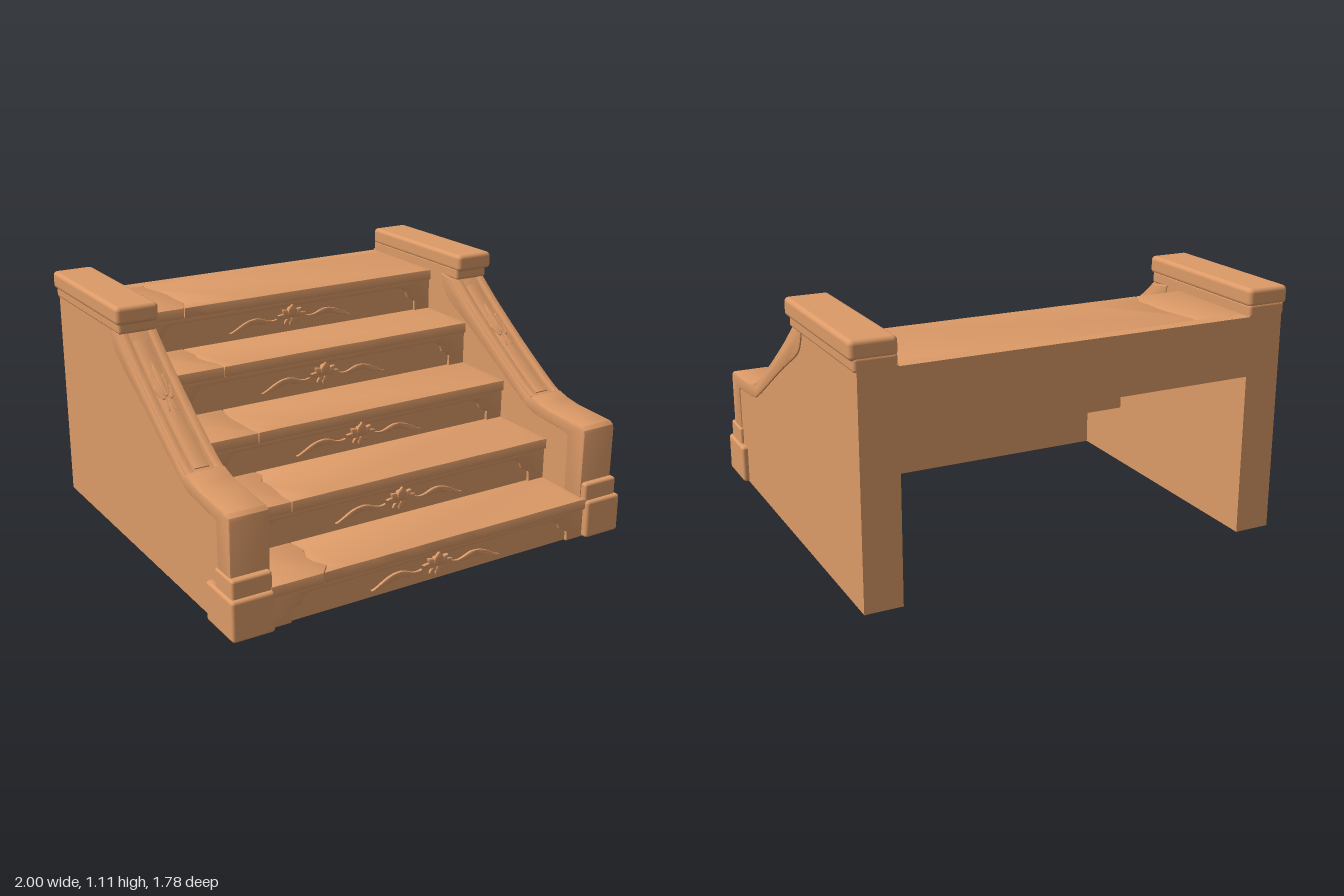
import * as THREE from 'three';
import { toCreasedNormals } from 'three/addons/utils/BufferGeometryUtils.js';
import { RoundedBoxGeometry } from 'three/addons/geometries/RoundedBoxGeometry.js';

const stone = new THREE.MeshStandardMaterial({ color: 0xdc9a67 });
stone.name = 'sandstone';

let seed = 7;
const jitter = (amount) => {
  seed = (seed * 16807) % 2147483647;
  return (seed / 2147483647 - 0.5) * 2 * amount;
};

function add(parent, name, geometry) {
  const mesh = new THREE.Mesh(geometry, stone);
  mesh.name = name;
  parent.add(mesh);
  return mesh;
}

const polygon = (points) => new THREE.Shape(points.map(([x, y]) => new THREE.Vector2(x, y)));

// Extrudes a shape to an exact depth, with an optional inward bevel
function slab(shape, depth, bevel = 0) {
  const g = new THREE.ExtrudeGeometry(shape, {
    depth: depth - 2 * bevel, curveSegments: 10, bevelEnabled: bevel > 0,
    bevelSize: bevel, bevelThickness: bevel, bevelOffset: -bevel, bevelSegments: 2,
  });
  g.translate(0, 0, bevel);
  return toCreasedNormals(g, 0.5);
}

// Extrudes a (z, y) outline across x from a to b, on the given side
function sideSlab(points, a, b, side, bevel) {
  const g = slab(polygon(points), b - a, bevel);
  g.rotateY(-Math.PI / 2);
  g.translate(side > 0 ? b : -a, 0, 0);
  return g;
}

function block(a, b, y0, y1, z0, z1, side, r) {
  const g = new RoundedBoxGeometry(b - a, y1 - y0, z1 - z0, 3, r);
  g.translate(side * (a + b) / 2, (y0 + y1) / 2, (z0 + z1) / 2);
  return g;
}

function box(width, y0, y1, z0, z1) {
  const g = new THREE.BoxGeometry(width, y1 - y0, z1 - z0);
  g.translate(0, (y0 + y1) / 2, (z0 + z1) / 2);
  return g;
}

const spline = (points, n) => new THREE.SplineCurve(points.map(([x, y]) => new THREE.Vector2(x, y)))
  .getPoints(n).map((p) => [p.x, p.y]);

// Pointed petal growing from the origin
function petal(length, width, angle, depth) {
  const s = new THREE.Shape();
  s.moveTo(0, 0);
  s.bezierCurveTo(width, length * 0.3, width, length * 0.65, 0, length);
  s.bezierCurveTo(-width, length * 0.65, -width, length * 0.3, 0, 0);
  const g = slab(s, depth, 0.005);
  g.rotateZ(angle);
  return g;
}

// Carved flower: upright petal, drooping side petals and a short stem
function flower() {
  const group = new THREE.Group();
  group.name = 'carvedFlower';
  for (const [length, width, angle, depth] of [
    [0.072, 0.02, 1.3, 0.013], [0.072, 0.02, -1.3, 0.013],
    [0.068, 0.022, 0.75, 0.016], [0.068, 0.022, -0.75, 0.016],
    [0.078, 0.03, 0, 0.02],
    [0.05, 0.016, 2.3, 0.011], [0.05, 0.016, -2.3, 0.011], [0.058, 0.016, Math.PI, 0.014],
  ]) add(group, 'petal', petal(length, width, angle, depth));
  return group;
}

// Long curling leaf beside the flower
function scrollLeaf(side) {
  const s = new THREE.Shape();
  s.moveTo(side * 0.08, 0.008);
  s.bezierCurveTo(side * 0.14, -0.008, side * 0.15, 0.034, side * 0.21, 0.026);
  s.bezierCurveTo(side * 0.27, 0.018, side * 0.29, -0.012, side * 0.335, -0.026);
  s.bezierCurveTo(side * 0.28, -0.026, side * 0.25, -0.006, side * 0.2, -0.002);
  s.bezierCurveTo(side * 0.16, 0.002, side * 0.14, -0.024, side * 0.08, 0.008);
  return slab(s, 0.014, 0.004);
}

const tops = [0.19, 0.39, 0.58, 0.79, 0.993];
const fronts = [0.874, 0.59, 0.26, -0.055, -0.362];
const bottoms = [0, 0.285, 0.485, 0.69, 0.728];
const backs = [0.425, 0.105, -0.205, -0.495];
const BACK = -0.89;
const RECESS = 0.028;

function createStep(i) {
  const step = new THREE.Group();
  step.name = 'step' + (i + 1);
  const top = tops[i], front = fronts[i], last = i === tops.length - 1;
  const under = top - 0.05;
  const low = i ? tops[i - 1] : 0;
  const treadBack = last ? BACK + 0.03 : fronts[i + 1] - 0.05;
  const bodyFront = front - RECESS;

  // Thin shell: slab under the tread, and the thick riser standing at its back
  if (last) {
    add(step, 'stepBody', box(1.63, bottoms[i], under, BACK, bodyFront));
    add(step, 'backBeam', box(1.63, under, top, BACK, BACK + 0.06));
  } else {
    add(step, 'stepBody', box(1.63, Math.min(bottoms[i], under), under, backs[i], bodyFront));
    add(step, 'nextRiser', box(1.63, bottoms[i], tops[i + 1] - 0.05, backs[i], fronts[i + 1] - RECESS));
  }

  // Tread in two pieces parted by a jagged crack, with a slightly worn front edge
  const crack = [];
  for (let k = 0; k <= 6; k++) {
    crack.push([-0.55 + jitter(0.025), -(front + (treadBack - front) * k / 6)]);
  }
  const edge = [];
  for (let k = 0; k < 13; k++) edge.push([0.75 - k * 0.1 + jitter(0.03), -front + Math.abs(jitter(0.004))]);
  const gap = 0.002;
  const right = [[-0.815, -treadBack], [-0.815, -front], ...crack.map(([x, y]) => [x - gap, y])];
  const left = [...crack.map(([x, y]) => [x + gap, y]), [0.815, -treadBack], [0.815, -front], ...edge];
  for (const outline of [right, left]) {
    const g = slab(polygon(outline), 0.05, 0.003);
    g.rotateX(-Math.PI / 2);
    g.translate(0, under, 0);
    add(step, 'tread', g);
  }

  // Raised frame with notched corners around the riser panel
  const h = under - low;
  const notch = [[0.72, 0], [0.72, 0.32], [0.705, 0.42], [0.675, 0.5], [0.665, 0.68], [0.64, 0.83]];
  const frame = polygon([
    [-0.815, 0], [-0.815, h], [0.815, h], [0.815, 0],
    ...notch.map(([x, y]) => [x, y * h]),
    ...notch.map(([x, y]) => [-x, y * h]).reverse(),
  ]);
  add(step, 'riserFrame', slab(frame, 0.018, 0.003)).position.set(0, low, bodyFront - 0.003);

  // Riser carving
  const carving = flower();
  carving.position.set(0, low + h * 0.46, bodyFront);
  carving.scale.set(1.1, 0.88, 1.3);
  step.add(carving);
  for (const side of [-1, 1]) {
    add(step, 'scrollLeaf', scrollLeaf(side)).position.set(0, low + h * 0.42, bodyFront);
  }
  return step;
}

function createSideWall(side) {
  const wall = new THREE.Group();
  wall.name = side > 0 ? 'leftWall' : 'rightWall';

  const ramp = spline([[0.47, 0.563], [0.4, 0.6], [0.2, 0.73], [0, 0.872], [-0.1, 0.95], [-0.16, 1]], 20);
  const sunk = (d) => ramp.map(([z, y]) => [z - d * 0.55, y - d * 0.83]);
  const inner = spline([[0.71, 0.465], [0.5, 0.485], [0.4, 0.525], [0.2, 0.645], [0, 0.765],
    [-0.18, 0.865], [-0.24, 0.92], [-0.27, 1]], 28);

  // Wall face, and the thicker border that follows the ramp
  add(wall, 'wallPanel', sideSlab([[0.735, 0], [0.735, 0.46], ...inner, [BACK, 1], [BACK, 0]], 0.806, 0.973, side, 0));
  add(wall, 'rampBorder', sideSlab([
    [0.73, 0], [0.84, 0], [0.845, 0.49], [0.84, 0.51], [0.82, 0.523], [0.6, 0.534], [0.53, 0.545], [0.47, 0.563],
    ...sunk(0.016), ...inner.slice().reverse(), [0.73, 0.455],
  ], 0.802, 0.98, side, 0.008));

  // Rims and sunken panel on the ramp
  const rim = [...ramp, ...sunk(0.035).reverse()];
  add(wall, 'rampRim', sideSlab(rim, 0.808, 0.843, side, 0.004));
  add(wall, 'rampRim', sideSlab(rim, 0.94, 0.974, side, 0.004));
  add(wall, 'rampPanel', sideSlab([...sunk(0.009).slice(2, 18), ...sunk(0.03).slice(2, 18).reverse()],
    0.857, 0.926, side, 0.003));

  // Flower on the slope
  const carving = flower();
  carving.position.set(side * 0.892, 0.768, 0.12);
  carving.rotation.x = -Math.PI * 0.303;
  carving.scale.set(0.62, 2.35, 0.8);
  wall.add(carving);

  // Stacked footing of the front post
  add(wall, 'postBase', block(0.808, 1, 0, 0.18, 0.66, 0.893, side, 0.014));
  add(wall, 'postCollar', block(0.808, 0.988, 0.15, 0.26, 0.72, 0.872, side, 0.012));

  // Neck moulding and coping at the top
  add(wall, 'copingNeck', block(0.806, 0.985, 0.985, 1.045, BACK, -0.14, side, 0.014));
  add(wall, 'coping', block(0.803, 1, 1.03, 1.112, BACK, -0.12, side, 0.02));
  return wall;
}

export function createModel() {
  const model = new THREE.Group();
  model.name = 'stoneStaircase';
  tops.forEach((_, i) => model.add(createStep(i)));
  for (const side of [-1, 1]) model.add(createSideWall(side));
  return model;
}
